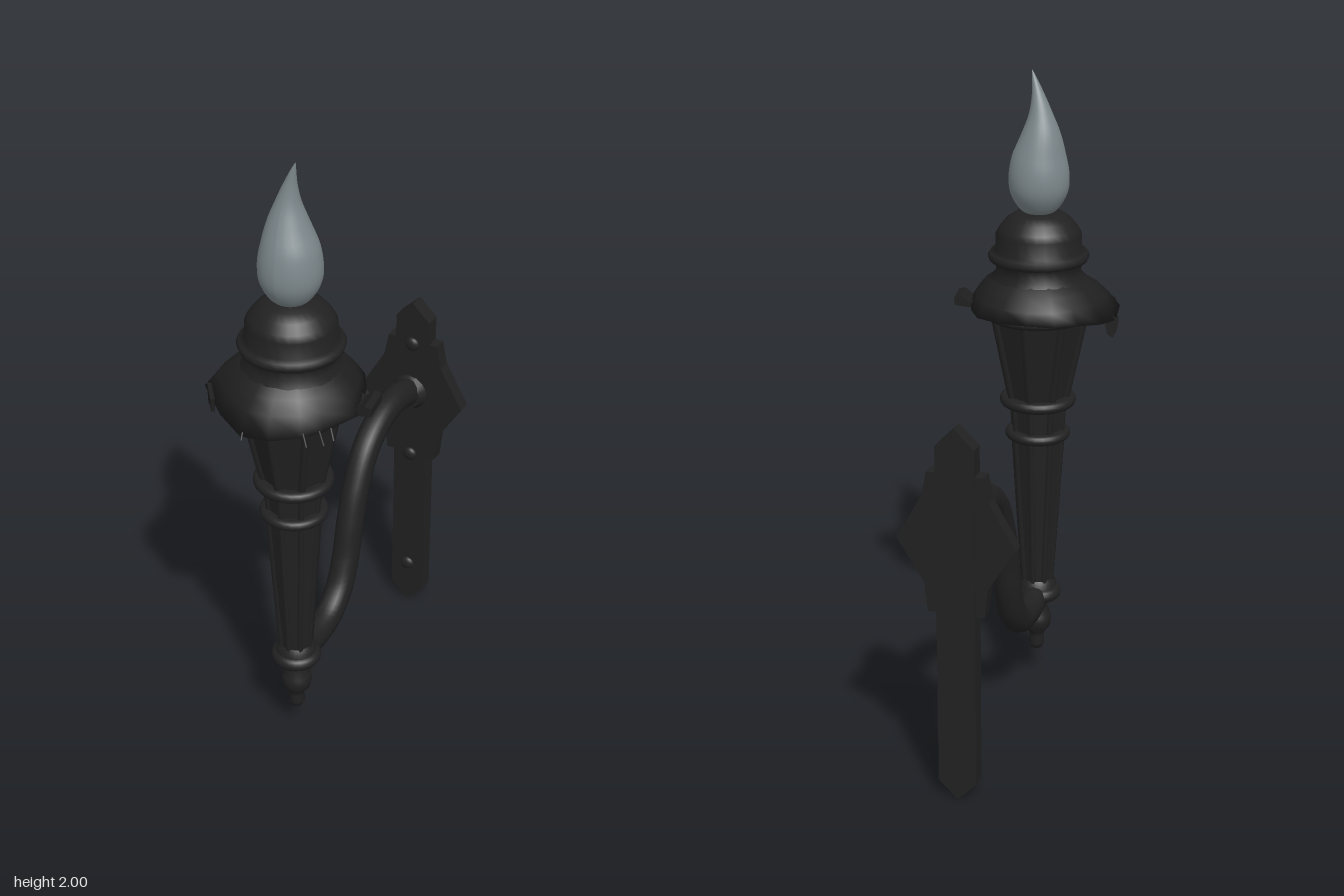
import * as THREE from 'three';

const AXIS_X = -0.005, AXIS_Z = 0.28;

export function createModel() {
  const iron = new THREE.MeshStandardMaterial({ color: 0x212121 });
  iron.name = 'blackIron';
  const cloth = new THREE.MeshStandardMaterial({ color: 0x1f1f1f, side: THREE.DoubleSide });
  cloth.name = 'charredCloth';
  const glass = new THREE.MeshStandardMaterial({ color: 0x7d888c });
  glass.name = 'greyGlass';

  const model = new THREE.Group();
  model.name = 'wallTorch';
  const torch = new THREE.Group();
  torch.name = 'torch';
  torch.position.set(AXIS_X, 0, AXIS_Z);
  model.add(torch);

  const add = (parent, name, geo, mat, x = 0, y = 0, z = 0) => {
    const m = new THREE.Mesh(geo, mat);
    m.name = name;
    m.position.set(x, y, z);
    parent.add(m);
    return m;
  };
  const lathe = (pts, n = 28) => new THREE.LatheGeometry(pts.map(p => new THREE.Vector2(...p)), n);
  const collar = (name, r, y, t) => {
    const pts = [];
    for (let i = 0; i <= 8; i++) {
      const a = -Math.PI / 2 + Math.PI * i / 8;
      pts.push([r - t + Math.cos(a) * t, y + Math.sin(a) * t]);
    }
    add(torch, name, lathe([[0.01, y - t], ...pts, [0.01, y + t]]), iron);
  };
  // tapered eight-sided section with a raised rib on each corner
  const ribbed = (name, r0, y0, r1, y1, rib) => {
    const g = new THREE.Group();
    g.name = name;
    torch.add(g);
    const core = new THREE.CylinderGeometry(r1, r0, y1 - y0, 8).toNonIndexed();
    core.computeVertexNormals();
    add(g, name + 'Core', core, iron, 0, (y0 + y1) / 2, 0);
    for (let i = 0; i < 8; i++) {
      const a = i * Math.PI / 4, d = new THREE.Vector3(Math.sin(a), 0, Math.cos(a));
      const p0 = d.clone().multiplyScalar(r0 - rib * 0.3).setY(y0);
      const p1 = d.clone().multiplyScalar(r1 - rib * 0.3).setY(y1);
      add(g, name + 'Rib', new THREE.TubeGeometry(new THREE.LineCurve3(p0, p1), 1, rib, 6), iron);
    }
  };

  // finial, shaft and cup
  add(torch, 'finial', lathe([[0, 0.1], [0.018, 0.108], [0.025, 0.125], [0.022, 0.15], [0.026, 0.165],
    [0.042, 0.185], [0.047, 0.21], [0.044, 0.23], [0.031, 0.26], [0.036, 0.28], [0.05, 0.3]]), iron);
  collar('lowerCollar', 0.077, 0.31, 0.023);
  add(torch, 'shaftFoot', lathe([[0.064, 0.325], [0.06, 0.345], [0.05, 0.36]]), iron);
  ribbed('shaft', 0.046, 0.33, 0.08, 0.85, 0.01);
  collar('shaftCollar', 0.102, 0.86, 0.016);
  ribbed('neck', 0.078, 0.86, 0.086, 0.97, 0.01);
  collar('cupCollar', 0.119, 0.972, 0.017);
  ribbed('cup', 0.09, 0.97, 0.152, 1.26, 0.013);
  collar('cupRim', 0.17, 1.26, 0.016);

  // stepped cap holding the flame
  add(torch, 'cap', lathe([[0.15, 1.26], [0.155, 1.33], [0.145, 1.37], [0.13, 1.385], [0.13, 1.42],
    [0.15, 1.425], [0.155, 1.438], [0.148, 1.45], [0.131, 1.455], [0.131, 1.505], [0.12, 1.525],
    [0.1, 1.55], [0.075, 1.568], [0.04, 1.574], [0, 1.575]]), iron);

  // flame bulb, its tip curling sideways
  const flameCurve = new THREE.SplineCurve([[0.03, 1.565], [0.06, 1.585], [0.086, 1.63], [0.092, 1.68],
    [0.083, 1.74], [0.06, 1.81], [0.037, 1.87], [0.019, 1.93], [0.009, 1.97], [0.0005, 2.0]]
    .map(p => new THREE.Vector2(...p)));
  const flame = new THREE.LatheGeometry(flameCurve.getPoints(36), 28);
  const fp = flame.attributes.position;
  for (let i = 0; i < fp.count; i++) {
    const t = Math.max(0, (fp.getY(i) - 1.75) / 0.25);
    fp.setX(i, fp.getX(i) + 0.025 * t * t - 0.012 * Math.sin(t * Math.PI));
    fp.setZ(i, fp.getZ(i) + 0.008 * t * t - 0.006 * Math.sin(t * Math.PI));
  }
  flame.computeVertexNormals();
  add(torch, 'flame', flame, glass);

  // ragged skirt: hem points as x, y, z around the torch axis
  const hem = [[-0.03, 1.25, 0.24], [-0.13, 1.255, 0.18], [-0.235, 1.27, 0.09], [-0.24, 1.245, 0.02],
    [-0.22, 1.26, -0.08], [-0.17, 1.275, -0.16], [-0.115, 1.28, -0.215], [-0.03, 1.285, -0.235],
    [0.06, 1.28, -0.22], [0.14, 1.275, -0.175], [0.18, 1.275, -0.11], [0.21, 1.275, -0.03],
    [0.225, 1.275, 0.03], [0.175, 1.265, 0.13], [0.13, 1.26, 0.18], [0.05, 1.25, 0.225]];
  const rows = [[0, 1.375, 0.138], [0.3, 1.35, 0.15], [0.62, 1.315, 0.16], [1, 0, 0], [0.2, 1.262, 0.15]];
  const pos = [], idx = [], n = hem.length;
  rows.forEach(([w, y, r]) => hem.forEach(([hx, hy, hz]) => {
    const len = Math.hypot(hx, hz), rad = w === 1 ? len : r + (len - r) * w;
    pos.push(hx / len * rad, w === 1 ? hy : y, hz / len * rad);
  }));
  for (let r = 0; r < rows.length - 1; r++) for (let i = 0; i < n; i++) {
    const a = r * n + i, b = r * n + (i + 1) % n;
    idx.push(a, b, a + n, b, b + n, a + n);
  }
  // hem order runs clockwise from above, so flip to face outward
  for (let i = 0; i < idx.length; i += 3) [idx[i + 1], idx[i + 2]] = [idx[i + 2], idx[i + 1]];
  const skirt = new THREE.BufferGeometry();
  skirt.setAttribute('position', new THREE.Float32BufferAttribute(pos, 3));
  skirt.setIndex(idx);
  skirt.computeVertexNormals();
  add(torch, 'raggedSkirt', skirt, cloth);

  // torn scraps and loose threads hanging from the hem
  const scrap = (name, outline, depth, x, z, turn) => {
    const s = new THREE.Shape(outline.map(p => new THREE.Vector2(...p)));
    const g = new THREE.ExtrudeGeometry(s, { depth, bevelEnabled: false });
    g.translate(0, 0, -depth / 2);
    add(torch, name, g, cloth, x, 0, z).rotation.y = turn;
  };
  scrap('rightScrap', [[0.03, 1.29], [-0.02, 1.27], [-0.045, 1.24], [-0.042, 1.215], [-0.03, 1.19],
    [-0.012, 1.2], [-0.005, 1.235], [0.03, 1.26]], 0.05, -0.2, 0.03, 0.2);
  scrap('leftScrap', [[-0.05, 1.3], [0.01, 1.285], [0.035, 1.305], [0.055, 1.3], [0.055, 1.275],
    [0, 1.268], [-0.05, 1.27]], 0.09, 0.2, -0.02, 0.15);
  scrap('frontScrap', [[-0.04, 1.29], [0.04, 1.285], [0.035, 1.24], [0.01, 1.25], [-0.02, 1.235]],
    0.012, -0.19, 0.13, -0.9);
  [[0.13, 0.17, 0.155, 0.195], [0.165, 0.14, 0.193, 0.165], [0.185, 0.11, 0.205, 0.13],
    [-0.03, 0.22, -0.02, 0.25]].forEach(([x0, z0, x1, z1]) => {
    const line = new THREE.LineCurve3(new THREE.Vector3(x0, 1.27, z0), new THREE.Vector3(x1, 1.245, z1));
    add(torch, 'looseThread', new THREE.TubeGeometry(line, 1, 0.003, 5), cloth);
  });

  // S-shaped arm from the wall plate to the torch foot (z, y)
  const path = new THREE.CatmullRomCurve3([[0.26, 0.305], [0.16, 0.292], [0.07, 0.308], [0, 0.365],
    [-0.045, 0.46], [-0.075, 0.58], [-0.115, 0.695], [-0.18, 0.8], [-0.27, 0.855], [-0.37, 0.868],
    [-0.49, 0.838]].map(([z, y]) => new THREE.Vector3(-0.009, y, z)));
  const arm = new THREE.TubeGeometry(path, 48, 0.047, 12);
  arm.translate(0.009, 0, 0).scale(0.9, 1, 1).translate(-0.009, 0, 0);
  add(model, 'arm', arm, iron);
  const flange = add(model, 'armFlange', new THREE.CylinderGeometry(0.047, 0.062, 0.03, 16), iron, -0.009, 0.838, -0.463);
  flange.rotation.x = Math.PI / 2;

  // wall plate: pointed bar crossed by a diamond
  const plate = (name, half, z0, z1) => {
    const pts = [...half, ...half.slice().reverse().map(([x, y]) => [-x, y])];
    const s = new THREE.Shape(pts.map(p => new THREE.Vector2(...p)));
    const g = new THREE.ExtrudeGeometry(s, { depth: z1 - z0, bevelEnabled: false });
    add(model, name, g, iron, -0.003, 0, z0);
  };
  plate('wallBar', [[0.002, 0], [0.058, 0.055], [0.058, 1.11], [0.002, 1.165]], -0.525, -0.475);
  plate('wallDiamond', [[0.085, 0.6], [0.095, 0.69], [0.177, 0.82], [0.1, 0.955], [0.085, 1.03]], -0.522, -0.478);

  // rivets
  for (const y of [0.15, 0.6, 1.02]) {
    const g = new THREE.SphereGeometry(0.024, 14, 10);
    g.scale(1, 1, 0.6);
    add(model, 'rivet', g, iron, -0.003, y, -0.474);
  }
  return model;
}
